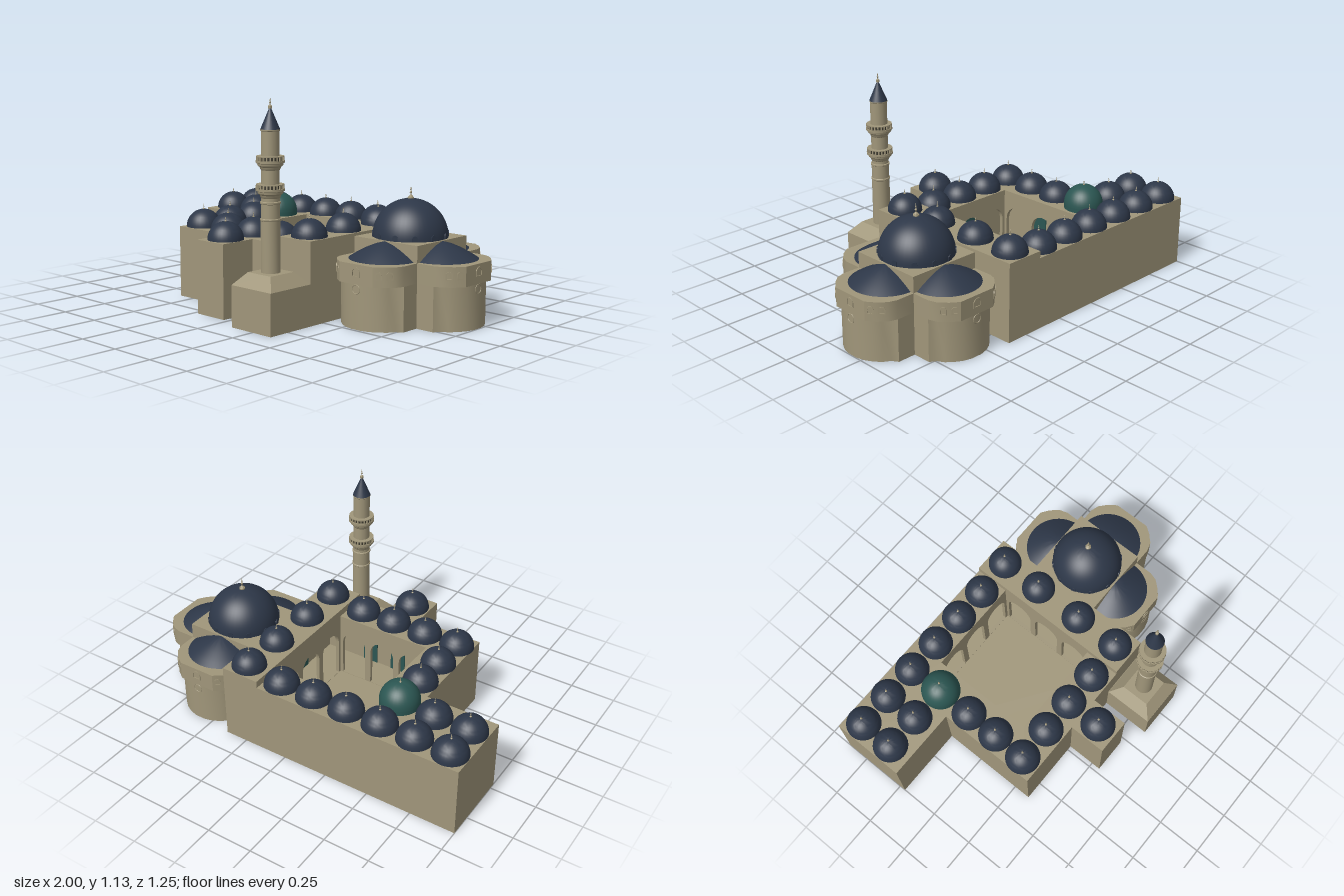
import * as THREE from 'three';
import { toCreasedNormals } from 'three/addons/utils/BufferGeometryUtils.js';

const mat = (name, color) => Object.assign(new THREE.MeshStandardMaterial({ color }), { name });
const V2 = (x, y) => new THREE.Vector2(x, y);

export function createModel() {
  const model = new THREE.Group();
  model.name = 'domedCourtyardBuilding';
  const stone = mat('sandstone', 0xa0967a);
  const lead = mat('navyLead', 0x2d3748);
  const teal = mat('tealCopper', 0x2b5652);
  const dark = mat('darkGap', 0x3b382e);

  const add = (name, geo, m, x = 0, y = 0, z = 0, parent = model) => {
    const mesh = new THREE.Mesh(toCreasedNormals(geo, 0.6), m);
    mesh.name = name;
    mesh.position.set(x, y, z);
    parent.add(mesh);
    return mesh;
  };
  const box = (name, x0, x1, y0, y1, z0, z1, m = stone, parent = model) =>
    add(name, new THREE.BoxGeometry(x1 - x0, y1 - y0, z1 - z0), m, (x0 + x1) / 2, (y0 + y1) / 2, (z0 + z1) / 2, parent);
  // Vertical prism from a ground plan of [x, z] points
  const prism = (name, plan, y0, y1, hole, parent = model) => {
    const shape = new THREE.Shape(plan.map(p => V2(...p)));
    if (hole) shape.holes.push(new THREE.Path(hole.map(p => V2(...p))));
    const geo = new THREE.ExtrudeGeometry(shape, { depth: y1 - y0, bevelEnabled: false });
    return add(name, geo.rotateX(Math.PI / 2), stone, 0, y1, 0, parent);
  };
  const rect = (x0, x1, z0, z1) => [[x0, z0], [x1, z0], [x1, z1], [x0, z1]];
  const lathe = (pts, seg = 32, start = 0, len = Math.PI * 2) =>
    new THREE.LatheGeometry(pts.map(p => V2(...p)), seg, start, len);
  const archPath = (path, x, w, y0, spring) => {
    path.moveTo(x - w / 2, y0);
    path.lineTo(x + w / 2, y0);
    path.lineTo(x + w / 2, spring);
    path.absarc(x, spring, w / 2, 0, Math.PI, false);
    path.lineTo(x - w / 2, y0);
    return path;
  };
  const finial = (x, y, z, s, parent = model) => add('finial', lathe([
    [0.006, -0.006], [0.006, 0.002], [0.0015, 0.006], [0.0015, 0.009], [0.0035, 0.012], [0.0015, 0.015],
    [0.0012, 0.018], [0.0025, 0.02], [0.001, 0.022], [0, 0.03]].map(p => [p[0] * s, p[1] * s]), 8), stone, x, y, z, parent);
  const dome = (name, x, y, z, r, m = lead) => {
    add(name, new THREE.SphereGeometry(r, 32, 14, 0, Math.PI * 2, 0, Math.PI / 2), m, x, y, z);
    finial(x, y + r, z, 1);
  };

  // Courtyard shell: floor, outer walls and gallery roof
  const plan = [[-1, -0.625], [0.375, -0.625], [0.375, 0.345], [-0.6, 0.345], [-0.6, -0.215], [-1, -0.215]];
  const X0 = -0.385, X1 = 0.16, Z0 = -0.435, Z1 = 0.145;
  prism('floor', plan, 0, 0.012);
  prism('outerWalls', plan, 0.012, 0.36, rect(-0.585, 0.355, -0.605, 0.325));
  prism('galleryRoof', plan, 0.36, 0.387, rect(X0, X1, Z0, Z1));
  box('raisedEastRoof', X1, 0.375, 0.387, 0.425, -0.625, 0.345);

  // Arcades around the yard, with doors on the wall behind each bay
  const arcade = (len, bays, x, z, turn, depth) => {
    const g = new THREE.Group();
    g.name = 'arcade';
    const shape = new THREE.Shape([V2(-len / 2, 0.012), V2(len / 2, 0.012), V2(len / 2, 0.36), V2(-len / 2, 0.36)]);
    const pitch = len / bays;
    for (let i = 0; i < bays; i++) {
      const c = (i + 0.5) * pitch - len / 2, w = Math.min(pitch - 0.035, 0.16);
      shape.holes.push(archPath(new THREE.Path(), c, w, 0.014, 0.22));
      const door = new THREE.ExtrudeGeometry(archPath(new THREE.Shape(), c, 0.09, 0.014, 0.2), { depth: 0.006, bevelEnabled: false });
      add('door', door, teal, 0, 0, -depth, g);
    }
    add('arches', new THREE.ExtrudeGeometry(shape, { depth: 0.02, bevelEnabled: false }), stone, 0, 0, -0.02, g);
    g.position.set(x, 0, z);
    g.rotation.y = turn;
    model.add(g);
  };
  const midX = (X0 + X1) / 2, midZ = (Z0 + Z1) / 2;
  arcade(X1 - X0, 3, midX, Z0, 0, 0.17);
  arcade(X1 - X0, 3, midX, Z1, Math.PI, 0.18);
  arcade(Z1 - Z0, 3, X0, midZ, Math.PI / 2, 0.2);
  arcade(Z1 - Z0, 3, X1, midZ, -Math.PI / 2, 0.195);

  // Small domes over the galleries
  const xs = [-0.905, -0.71, -0.515, -0.32, -0.125, 0.07];
  xs.forEach(x => dome('smallDome', x, 0.387, -0.53, 0.094));
  xs.slice(2).forEach(x => dome('smallDome', x, 0.387, 0.245, 0.094));
  [[-0.905, -0.34], [-0.71, -0.34], [-0.51, -0.13], [-0.51, 0.055], [-0.125, 0.443]]
    .forEach(([x, z]) => dome('smallDome', x, 0.387, z, 0.094));
  [-0.53, -0.29, -0.01, 0.245].forEach(z => dome('eastDome', 0.275, 0.425, z, 0.092));
  add('tealDomeDrum', new THREE.CylinderGeometry(0.105, 0.105, 0.025, 32), teal, -0.508, 0.3985, -0.33);
  dome('tealDome', -0.508, 0.411, -0.33, 0.105, teal);
  box('porch', -0.225, -0.03, 0, 0.387, 0.345, 0.55);

  // Prayer hall with great dome
  const CX = 0.575, CZ = -0.185, H = 0.2025;
  box('hall', CX - H, CX + H, 0, 0.41, CZ - H, CZ + H);
  add('greatDome', new THREE.SphereGeometry(0.193, 48, 20, 0, Math.PI * 2, 0, Math.PI / 2), lead, CX, 0.41, CZ);
  add('domeKnob', lathe([[0.016, -0.004], [0.016, 0.006], [0.008, 0.012], [0, 0.014]], 12), stone, CX, 0.603, CZ);
  finial(CX, 0.61, CZ, 2);
  for (let i = 0; i < 12; i++) {
    const a = (i + 0.5) * Math.PI / 6;
    const g = new THREE.Group();
    g.name = 'domeWindow';
    const hood = new THREE.ExtrudeGeometry(archPath(new THREE.Shape(), 0, 0.028, 0, 0.016), { depth: 0.03, bevelEnabled: false });
    add('hood', hood, lead, 0, 0, 0.165, g);
    g.position.set(CX, 0.41, CZ);
    g.rotation.y = a;
    model.add(g);
  }

  // Apses on three sides: curved wall, faceted upper band, half-cone roof and windows
  for (const turn of [0, Math.PI / 2, Math.PI]) {
    const g = new THREE.Group();
    g.name = 'apse';
    const half = [[0.2025, 0], [0.2025, 0.1], [0.188, 0.145], [0.15, 0.188], [0.105, 0.22]];
    const mirrored = pts => [...pts, ...pts.slice().reverse().map(([x, z]) => [-x, z])];
    const low = [[0.2025, 0], [0.2025, 0.1], [0.17, 0.12], [0.15, 0.155], [0.115, 0.185], [0.075, 0.207], [0.03, 0.219]];
    prism('curvedWall', mirrored(low), 0, 0.225, null, g);
    prism('upperWall', mirrored(half), 0.225, 0.325, null, g);
    add('halfRoof', lathe([[0.183, 0.324], [0.15, 0.345], [0.1, 0.373], [0.05, 0.395], [0, 0.409]], 24, -Math.PI / 2, Math.PI), lead, 0, 0, 0, g);
    for (const [x, z, a] of [[0, 0.22, 0], [0.128, 0.204, 0.62], [-0.128, 0.204, -0.62], [0.169, 0.167, 0.85], [-0.169, 0.167, -0.85]]) {
      const w = x ? 0.034 : 0.05;
      const frame = archPath(new THREE.Shape(), 0, w, 0.262, 0.285);
      frame.holes.push(archPath(new THREE.Path(), 0, w - 0.012, 0.267, 0.284));
      add('windowFrame', new THREE.ExtrudeGeometry(frame, { depth: 0.004, bevelEnabled: false }), stone, x, 0, z, g).rotation.y = a;
    }
    add('roundWindow', new THREE.TorusGeometry(0.023, 0.0025, 6, 24), stone, 0, 0.2, 0.219, g);
    g.position.set(CX + Math.sin(turn) * H, 0, CZ + Math.cos(turn) * H);
    g.rotation.y = turn;
    model.add(g);
  }

  // Minaret: square base, tapered shoulder, shaft, balconies and spire
  const MX = 0.24, MZ = 0.483;
  box('minaretBase', 0.105, 0.375, 0, 0.212, 0.345, 0.62);
  add('minaretShoulder', new THREE.CylinderGeometry(0.079 * Math.SQRT2, 0.136 * Math.SQRT2, 0.064, 4).rotateY(Math.PI / 4), stone, MX, 0.244, MZ);
  const tower = new THREE.Group();
  tower.name = 'minaret';
  tower.position.set(MX, 0, MZ);
  model.add(tower);
  add('shaft', lathe([[0.048, 0.27], [0.048, 0.53], [0.051, 0.533], [0.051, 0.54], [0.047, 0.543], [0.047, 0.612], [0.051, 0.615],
    [0.051, 0.623], [0.045, 0.626], [0.045, 0.965], [0.048, 0.968], [0.048, 0.974]], 24), stone, 0, 0, 0, tower);
  add('spire', new THREE.ConeGeometry(0.048, 0.113, 24), lead, 0, 1.03, 0, tower);
  finial(0, 1.083, 0, 1.55, tower);
  for (const y of [0.64, 0.776]) {
    add('balcony', lathe([[0.044, y], [0.049, y + 0.006], [0.052, y + 0.016], [0.062, y + 0.024], [0.064, y + 0.034],
      [0.071, y + 0.037], [0.071, y + 0.048], [0.044, y + 0.048]], 16), stone, 0, 0, 0, tower);
    add('railGap', new THREE.CylinderGeometry(0.064, 0.064, 0.018, 16), dark, 0, y + 0.057, 0, tower);
    add('handrail', new THREE.CylinderGeometry(0.069, 0.069, 0.004, 16), stone, 0, y + 0.068, 0, tower);
    for (let i = 0; i < 24; i++) {
      const a = i * Math.PI / 12;
      add('railPost', new THREE.BoxGeometry(0.007, 0.018, 0.007), stone, Math.sin(a) * 0.065, y + 0.057, Math.cos(a) * 0.065, tower).rotation.y = a;
    }
  }
  return model;
}
